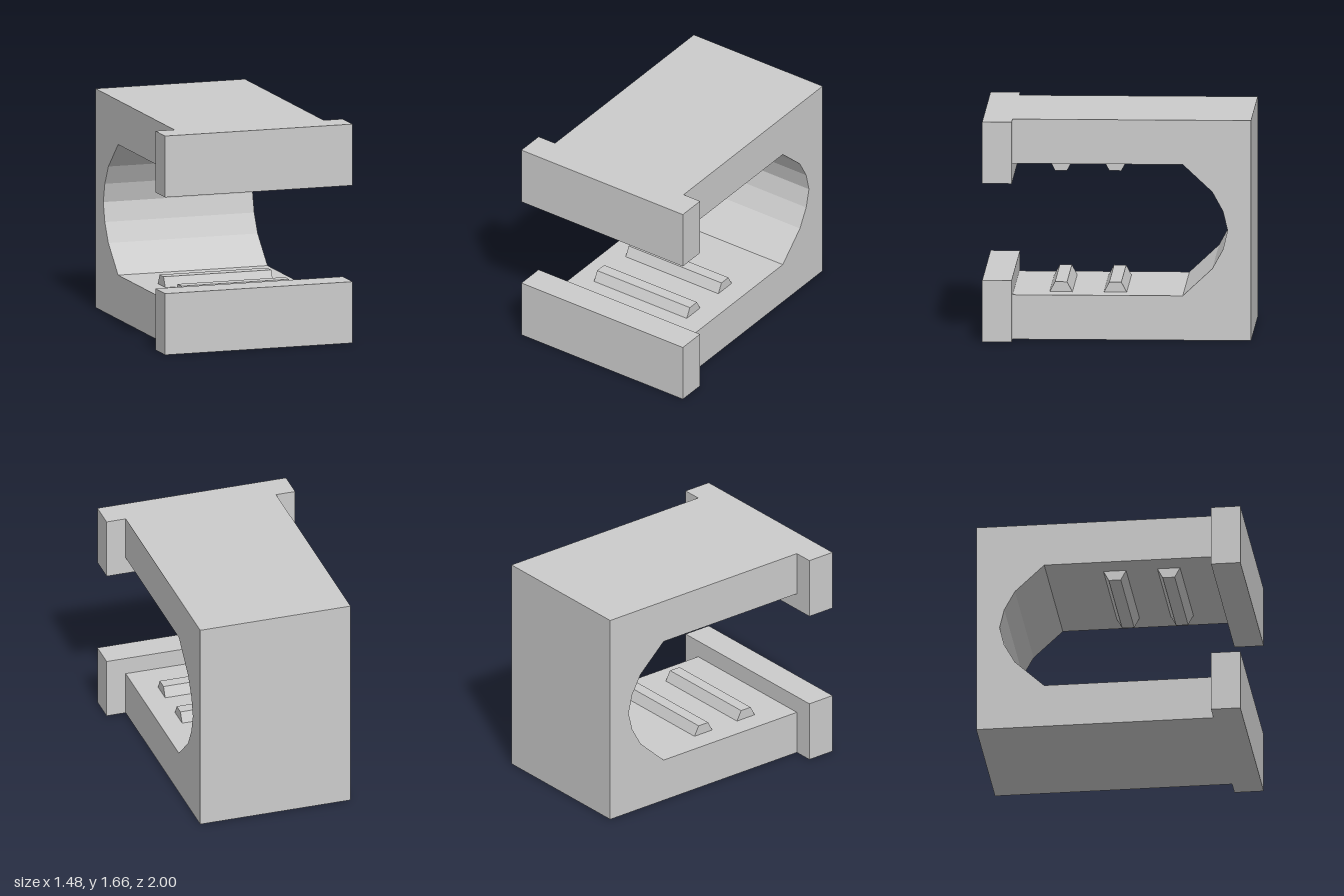
import * as THREE from 'three';

const HEIGHT = 1.66;
const MID = HEIGHT / 2;
const material = new THREE.MeshStandardMaterial({ color: 0xcccccc, flatShading: true });

// Extrude a closed side profile of [z, y] points along x, centred on x = 0
function extrudeAcross(name, profile, width) {
  const shape = new THREE.Shape(profile.map(([z, y]) => new THREE.Vector2(-z, y)));
  const geometry = new THREE.ExtrudeGeometry(shape, { depth: width, bevelEnabled: false });
  geometry.translate(0, 0, -width / 2);
  geometry.rotateY(Math.PI / 2);
  const mesh = new THREE.Mesh(geometry, material);
  mesh.name = name;
  return mesh;
}

export function createModel() {
  const group = new THREE.Group();
  group.name = 'clip';

  // C-shaped body: lower half of the opening, mirrored to the upper half
  const lowerOpening = [[0.78, 0.335], [-0.49, 0.335], [-0.71, 0.54], [-0.79, 0.685]];
  const upperOpening = lowerOpening.map(([z, y]) => [z, HEIGHT - y]).reverse();
  group.add(extrudeAcross('body', [
    [0.78, 0], ...lowerOpening, [-0.825, MID], ...upperOpening,
    [0.78, HEIGHT], [-1, HEIGHT], [-1, 0],
  ], 1.18));

  for (const [side, flip] of [['lower', false], ['upper', true]]) {
    const level = (y) => (flip ? HEIGHT - y : y);

    // Wide lip across the mouth
    const lip = new THREE.Mesh(new THREE.BoxGeometry(1.48, 0.465, 0.22), material);
    lip.name = `${side}Lip`;
    lip.position.set(0, level(0.2325), 0.89);
    group.add(lip);

    // Tapered grip ridges on the inner face
    for (const [label, z] of [['Front', 0.425], ['Rear', 0.02]]) {
      group.add(extrudeAcross(`${side}${label}Ridge`, [
        [z + 0.085, level(0.335)], [z + 0.045, level(0.41)],
        [z - 0.045, level(0.41)], [z - 0.085, level(0.335)],
      ], 0.85));
    }
  }
  return group;
}
